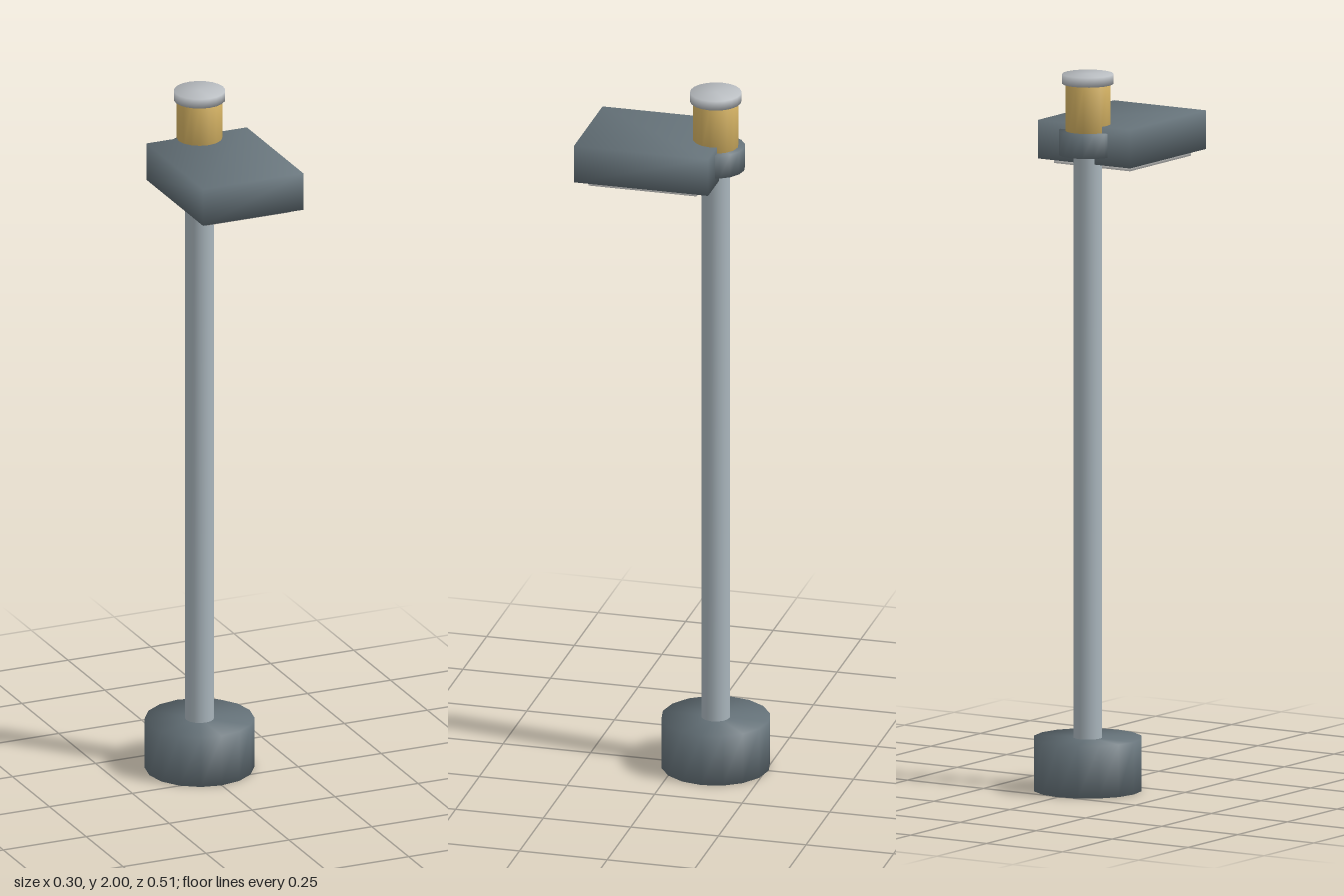
import * as THREE from 'three';
import { mergeVertices } from 'three/addons/utils/BufferGeometryUtils.js';

const AXIS_Z = -0.107; // the post stands towards the back

// Weld all corners so shading flows softly over the edges
function soften(geometry) {
  geometry.deleteAttribute('normal');
  geometry.deleteAttribute('uv');
  const welded = mergeVertices(geometry, 1e-4);
  welded.computeVertexNormals();
  return welded;
}

function paint(name, color) {
  const material = new THREE.MeshStandardMaterial({ color });
  material.name = name;
  return material;
}

export function createModel() {
  const group = new THREE.Group();
  group.name = 'streetLamp';

  const slate = paint('slate', 0x66737a);
  const steel = paint('steel', 0xa9b5bc);
  const silver = paint('silver', 0xb9bdc1);
  const brass = paint('brass', 0xd2b062);
  const glass = paint('lampGlass', 0xe4e4e2);

  function add(name, geometry, material, x, y, z) {
    const mesh = new THREE.Mesh(soften(geometry), material);
    mesh.name = name;
    mesh.position.set(x, y, z);
    group.add(mesh);
  }

  // Upright round parts on the post axis
  function round(name, radius, y0, y1, material, sides = 16) {
    add(name, new THREE.CylinderGeometry(radius, radius, y1 - y0, sides), material, 0, (y0 + y1) / 2, AXIS_Z);
  }

  // Block given by its limits
  function block(name, halfWidth, y0, y1, z0, z1, material) {
    add(name, new THREE.BoxGeometry(halfWidth * 2, y1 - y0, z1 - z0), material, 0, (y0 + y1) / 2, (z0 + z1) / 2);
  }

  // Foot and post
  round('base', 0.151, 0, 0.146, slate);
  round('post', 0.04, 0.14, 1.85, steel);

  // Lamp head, held by a collar, with the light panel underneath
  round('collar', 0.081, 1.775, 1.842, slate);
  block('lampHead', 0.151, 1.752, 1.86, -0.126, 0.257, slate);
  block('lightPanel', 0.125, 1.736, 1.756, -0.086, 0.222, glass);

  // Sensor on top of the post
  round('sensorBody', 0.063, 1.842, 1.976, brass);
  round('sensorCap', 0.071, 1.973, 2.0, silver, 20);

  return group;
}
